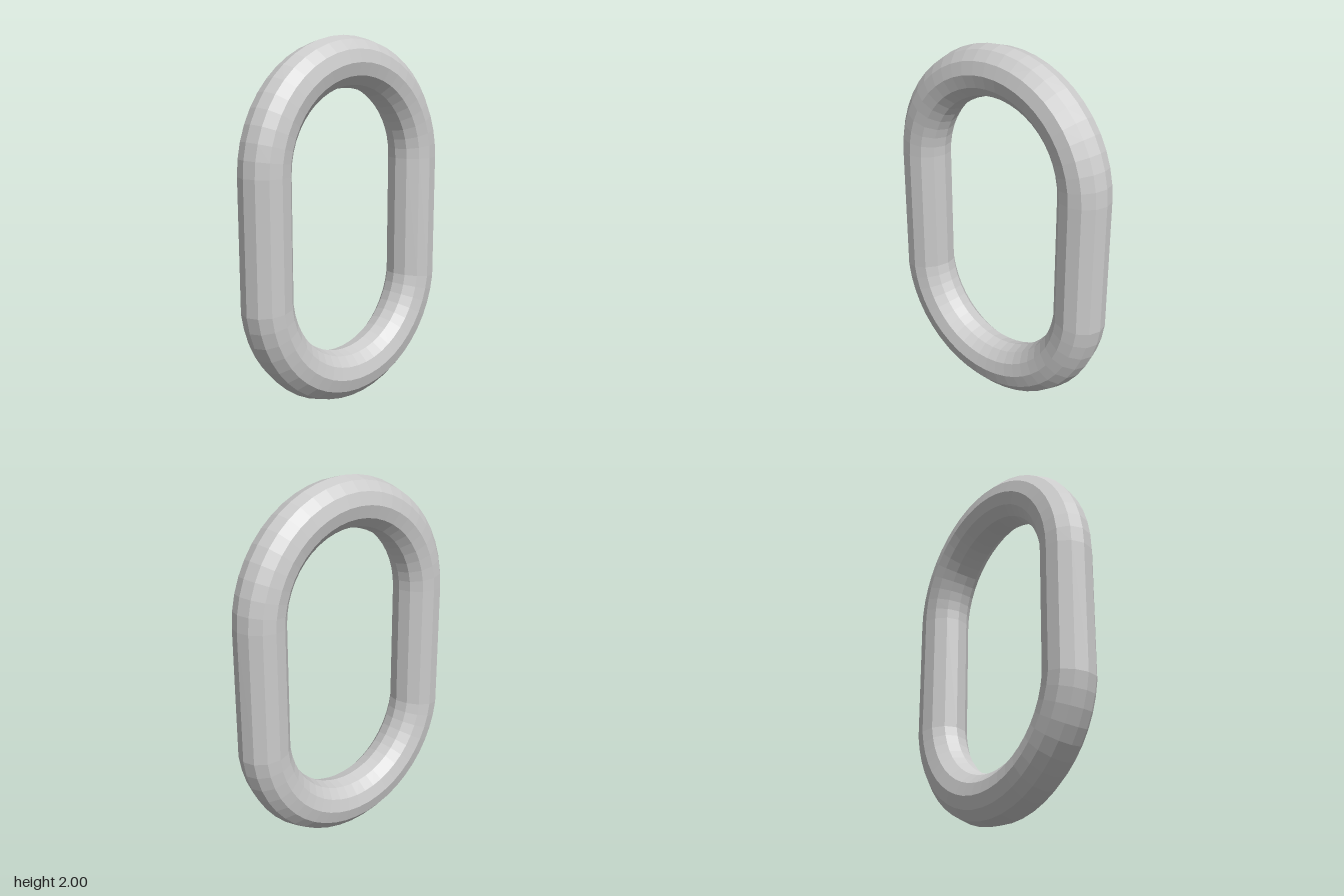
import * as THREE from 'three';

const BEND = 0.552;  // radius of the end bends, to the bar centre
const BAR = 0.138;   // radius of the round bar
const TOP = 1.31;    // height of the upper bend centre
const BOTTOM = 0.69; // height of the lower bend centre

export function createModel() {
  const group = new THREE.Group();
  group.name = 'chainLink';

  // A 12-sided ring pulled apart into a stadium: upper rings stay on the
  // upper bend, lower rings move to the lower bend, leaving straight sides.
  const geometry = new THREE.TorusGeometry(BEND, BAR, 12, 48);
  const pos = geometry.attributes.position;
  for (let i = 0; i < pos.count; i++) {
    const y = pos.getY(i);
    pos.setY(i, y + (y < -1e-4 ? BOTTOM : TOP));
  }
  geometry.computeVertexNormals();

  const material = new THREE.MeshStandardMaterial({ color: 0xcccccc, flatShading: true });
  const link = new THREE.Mesh(geometry, material);
  link.name = 'linkBar';
  group.add(link);
  return group;
}
